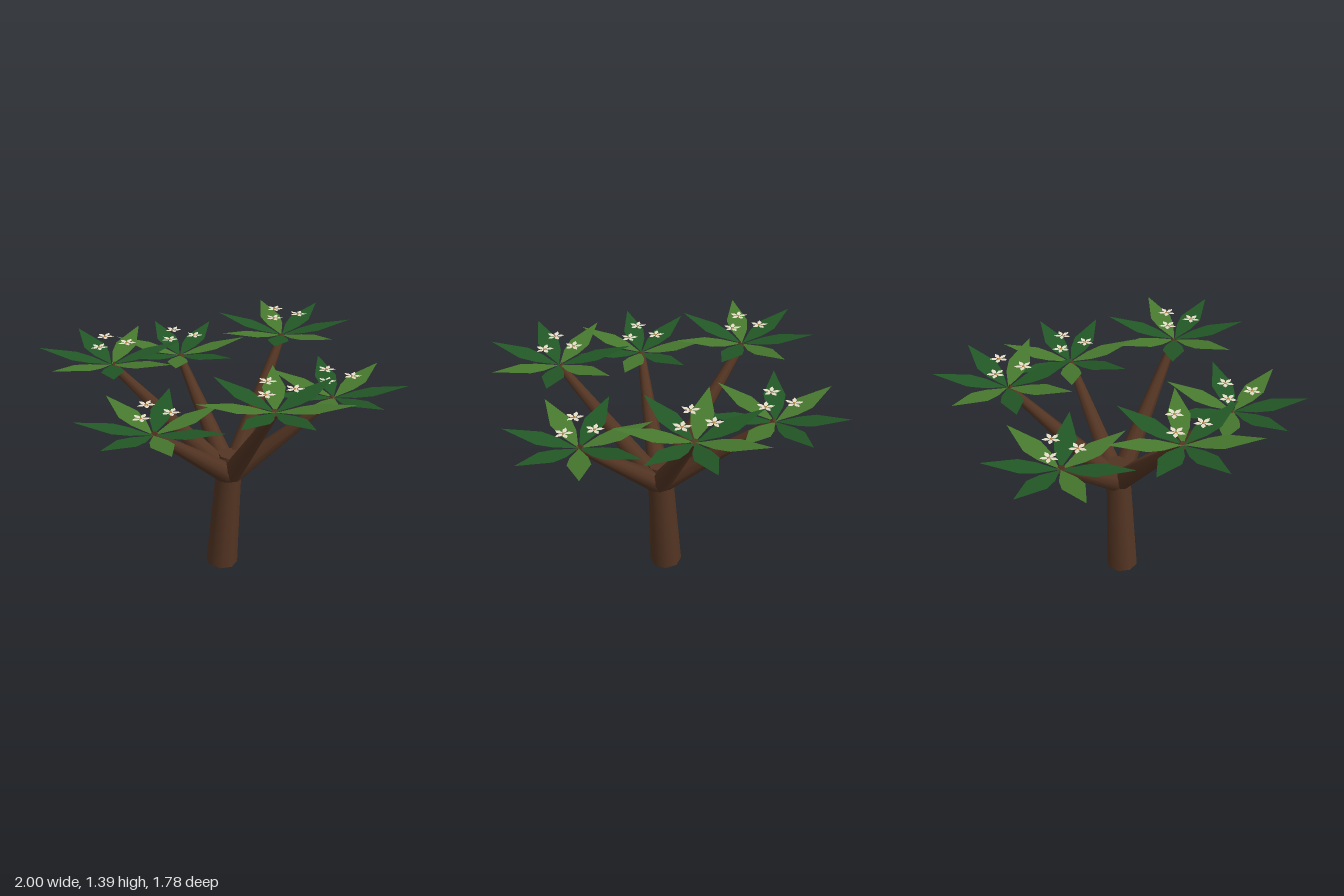
import * as THREE from 'three';

const material = (name, color, doubleSided = false) => {
  const m = new THREE.MeshStandardMaterial({ color });
  m.name = name;
  if (doubleSided) m.side = THREE.DoubleSide;
  return m;
};

// Flat blade lying along +x, given half its outline as [distance, halfWidth]
function bladeGeometry(half) {
  const outline = [...half, ...half.slice(1, -1).reverse().map(([x, w]) => [x, -w])];
  const shape = new THREE.Shape(outline.map(([x, w]) => new THREE.Vector2(x, w)));
  return new THREE.ShapeGeometry(shape).rotateX(-Math.PI / 2);
}

// Tapered round limb between two points
function limb(name, from, to, r0, r1, mat) {
  const dir = to.clone().sub(from);
  const mesh = new THREE.Mesh(new THREE.CylinderGeometry(r1, r0, dir.length(), 8), mat);
  mesh.name = name;
  mesh.position.copy(from).add(to).multiplyScalar(0.5);
  mesh.quaternion.setFromUnitVectors(new THREE.Vector3(0, 1, 0), dir.normalize());
  return mesh;
}

export function createModel() {
  const bark = material('bark brown', 0x543523);
  const darkLeaf = material('dark leaf green', 0x225826, true);
  const lightLeaf = material('light leaf green', 0x487a2f, true);
  const cream = material('petal cream', 0xeee4d0, true);
  const amber = material('flower centre amber', 0xb9853c);

  const leafGeo = bladeGeometry([[0, 0], [0.02, 0.006], [0.12, 0.046], [0.21, 0.06], [0.403, 0]]);
  const petalGeo = bladeGeometry([[0, 0], [0.016, 0.009], [0.03, 0.012], [0.05, 0]]);
  const centreGeo = new THREE.SphereGeometry(0.008, 8, 6).scale(1, 0.6, 1);

  // Ring of blades around the y axis, each lifted by a small angle
  function ring(name, geo, count, lift, start, pick) {
    const group = new THREE.Group();
    group.name = name + 'Ring';
    for (let k = 0; k < count; k++) {
      const blade = new THREE.Mesh(geo, pick(k));
      blade.name = name;
      blade.rotation.set(0, start + (k / count) * Math.PI * 2, lift);
      group.add(blade);
    }
    return group;
  }

  function flower() {
    const group = ring('petal', petalGeo, 5, 0.08, 0, () => cream);
    group.name = 'flower';
    const centre = new THREE.Mesh(centreGeo, amber);
    centre.name = 'flowerCentre';
    group.add(centre);
    return group;
  }

  const tree = new THREE.Group();
  tree.name = 'floweringTree';

  // Slightly leaning trunk
  tree.add(limb('trunk', new THREE.Vector3(-0.005, 0.006, 0),
    new THREE.Vector3(0.043, 0.735, 0), 0.093, 0.068, bark));

  // Six branches at alternating heights, each with a crown of leaves and flowers
  const fork = new THREE.Vector3(0.043, 0.597, 0);
  for (let i = 0; i < 6; i++) {
    const angle = (i / 6) * Math.PI * 2;
    const tip = new THREE.Vector3(0.604 * Math.cos(angle), i % 2 ? 1.255 : 1.105, -0.604 * Math.sin(angle));
    tree.add(limb('branch', fork, tip, 0.063, 0.022, bark));

    const crown = new THREE.Group();
    crown.name = 'crown';
    crown.position.copy(tip);
    crown.add(ring('leaf', leafGeo, 7, 0.21, angle, (k) => (k % 2 ? lightLeaf : darkLeaf)));
    for (let j = 0; j < 3; j++) {
      const a = (j / 3) * Math.PI * 2;
      const bloom = flower();
      bloom.position.set(0.09 * Math.cos(a), 0.13, 0.09 * Math.sin(a));
      crown.add(bloom);
    }
    tree.add(crown);
  }
  return tree;
}
